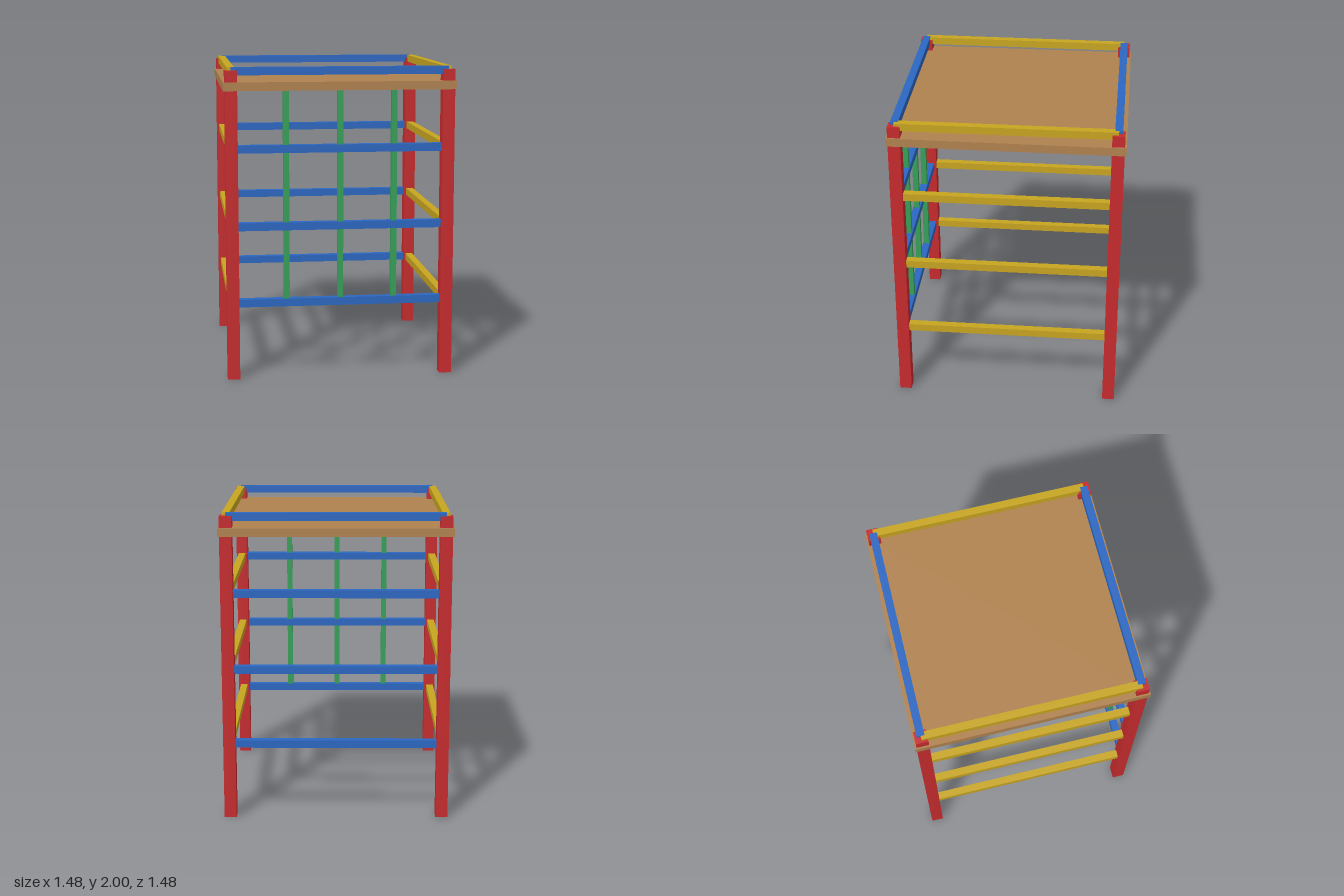
import * as THREE from 'three';

const mat = (name, color) => {
  const m = new THREE.MeshStandardMaterial({ color });
  m.name = name;
  return m;
};

export function createModel() {
  const red = mat('red', 0xc62b2d);
  const blue = mat('blue', 0x2b67c2);
  const yellow = mat('yellow', 0xc7a520);
  const green = mat('green', 0x35a058);
  const wood = mat('wood', 0xb0824f);

  const model = new THREE.Group();
  model.name = 'climbingFrame';
  const box = (name, material, [w, h, d], [x, y, z]) => {
    const mesh = new THREE.Mesh(new THREE.BoxGeometry(w, h, d), material);
    mesh.name = name;
    mesh.position.set(x, y, z);
    model.add(mesh);
  };

  const R = 0.69; // distance of the post centres from the middle
  const T = 0.049; // rail thickness

  // Corner posts
  for (const x of [-R, R])
    for (const z of [-R, R]) box('cornerPost', red, [0.079, 1.98, 0.079], [x, 0.99, z]);

  // Rails on all four sides; the highest ring is the guard rail
  for (const y of [0.495, 0.99, 1.485, 1.975]) {
    const kind = y > 1.9 ? 'GuardRail' : 'Rail';
    for (const s of [-R, R]) {
      // a hair taller, so it covers the side rail at the corner
      box(s > 0 ? 'front' + kind : 'back' + kind, blue, [2 * R, T + 0.001, T], [0, y, s]);
      box(s > 0 ? 'left' + kind : 'right' + kind, yellow, [T, T, 2 * R], [s, y, 0]);
    }
  }

  // Platform
  box('platform', wood, [1.48, 0.054, 1.48], [0, 1.881, 0]);

  // Upright climbing bars, front only
  for (const x of [-R / 2, 0, R / 2])
    box('climbingBar', green, [0.037, 1.365, 0.037], [x, 1.1775, R]);

  return model;
}
